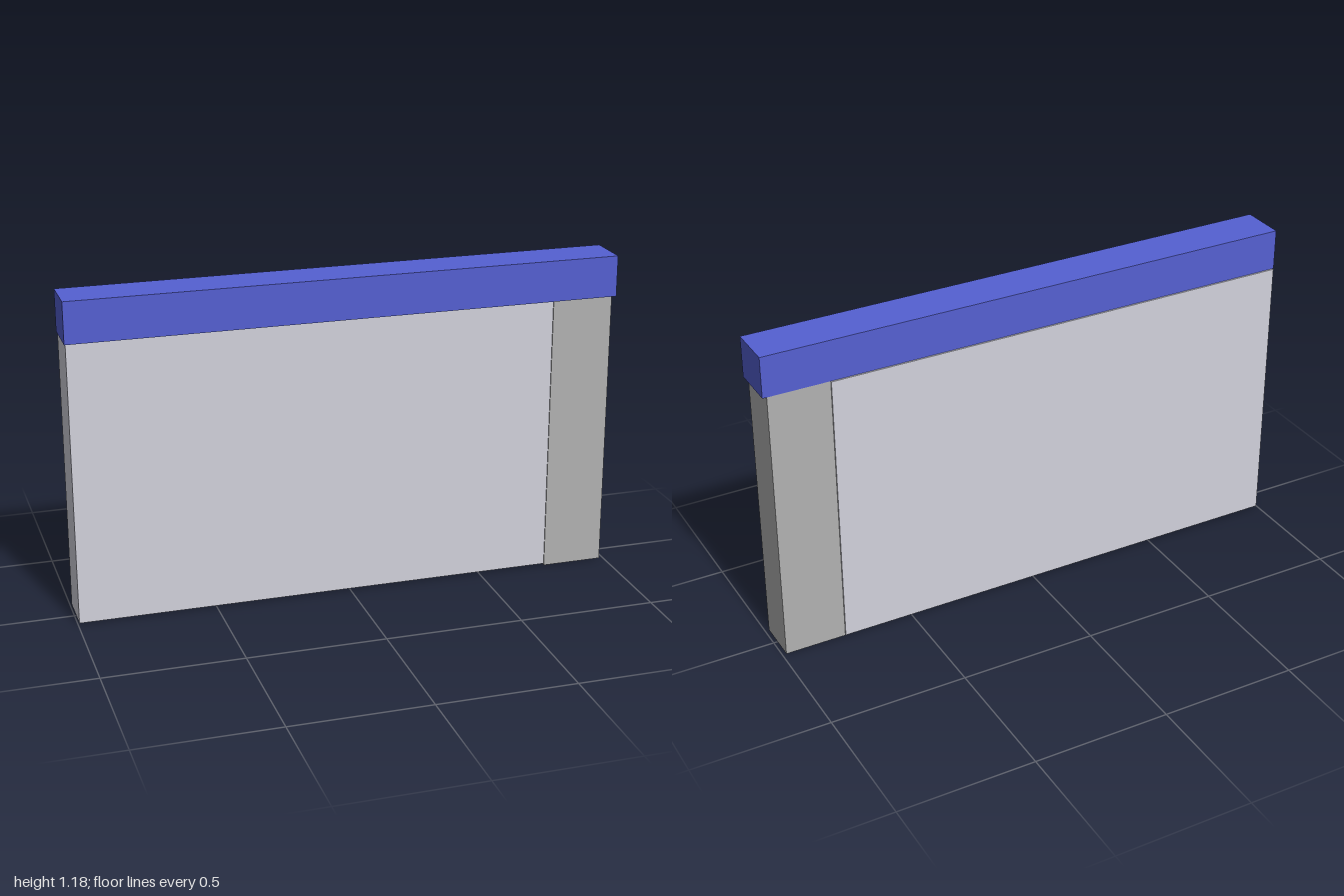
import * as THREE from 'three';

// Box given by its minimum and maximum corners
function block(name, color, min, max) {
  const size = max.map((v, i) => v - min[i]);
  const mesh = new THREE.Mesh(
    new THREE.BoxGeometry(...size),
    new THREE.MeshStandardMaterial({ color })
  );
  mesh.position.set(...max.map((v, i) => (v + min[i]) / 2));
  mesh.name = name;
  return mesh;
}

export function createModel() {
  const model = new THREE.Group();
  model.name = 'wall';
  model.add(
    // Wide pale panel, set slightly back from the post
    block('wallPanel', 0xd2d2dc, [-0.995, 0.005, -0.086], [0.76, 1.03, 0.076]),
    // Darker end post
    block('endPost', 0xb2b2b2, [0.76, 0, -0.08], [0.985, 1.03, 0.08]),
    // Blue beam along the top
    block('topBeam', 0x5560d2, [-1, 1.03, -0.08], [1, 1.18, 0.086])
  );
  return model;
}
